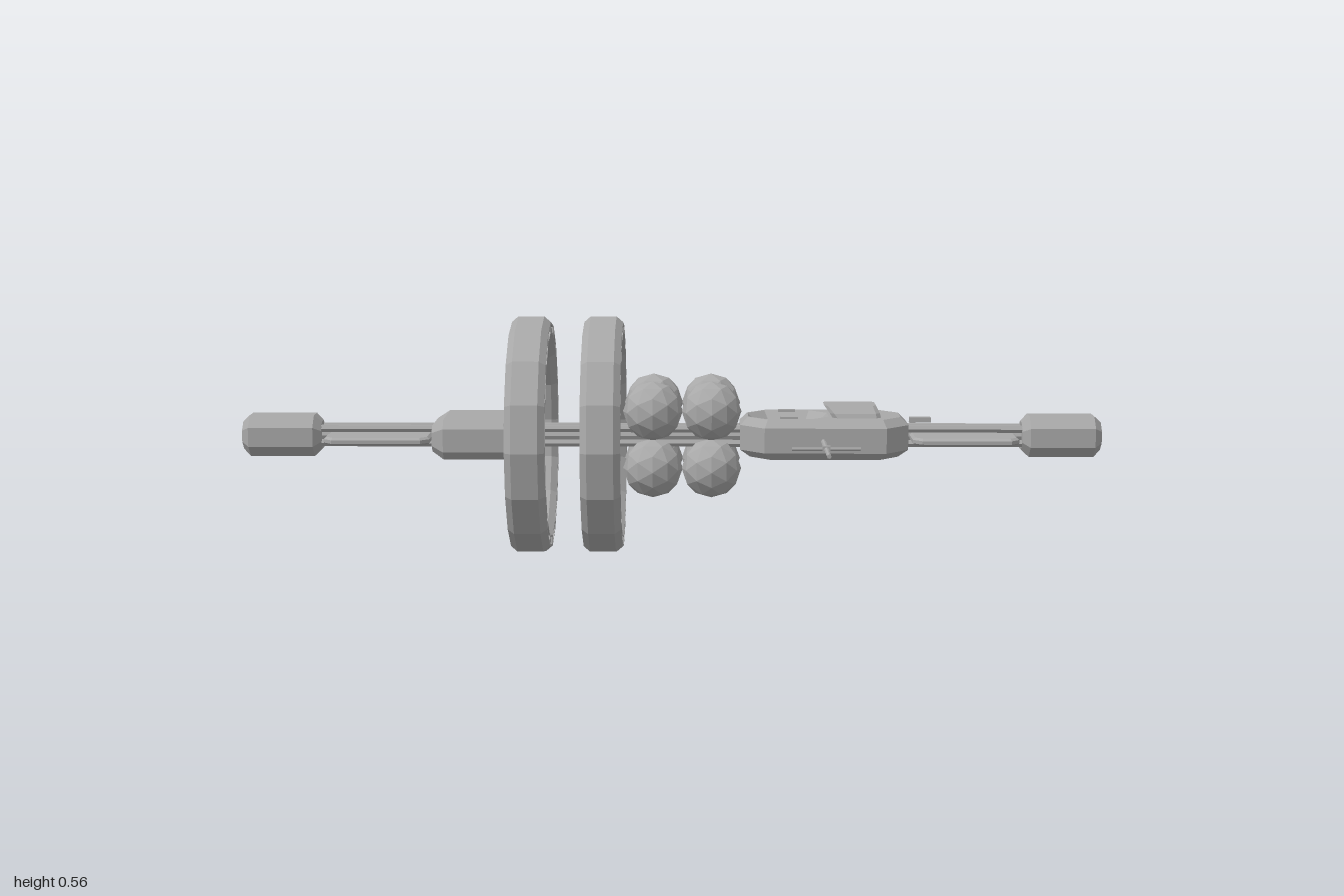
import * as THREE from 'three';

const CY = 0.278; // height of the long axis
const grey = new THREE.MeshStandardMaterial({ color: 0xa8a8a8 });
grey.name = 'hull grey';
const black = new THREE.MeshStandardMaterial({ color: 0x080808 });
black.name = 'black';

// Faceted mesh: every face gets its own normal
function add(parent, name, geo, x = 0, y = 0, z = 0, mat = grey) {
  const g = geo.index ? geo.toNonIndexed() : geo;
  g.computeVertexNormals();
  const m = new THREE.Mesh(g, mat);
  m.name = name;
  m.position.set(x, y, z);
  parent.add(m);
  return m;
}

function group(parent, name, x = 0, y = 0, z = 0) {
  const g = new THREE.Group();
  g.name = name;
  g.position.set(x, y, z);
  parent.add(g);
  return g;
}

// Rectangle with cut corners, counter-clockwise
const cutRect = (a, b, c, o = 0) => [
  [a, -b + c], [a, b - c], [a - c, b], [-a + c, b],
  [-a, b - c], [-a, -b + c], [-a + c, -b], [a - c, -b],
].map(([u, v]) => [u + o, v]);

// Solid through cut rectangles stacked along y: [y, halfX, halfZ, cut, xOffset]
function loft(stations) {
  const rings = stations.map(([y, a, b, c, o]) => cutRect(a, b, c, o).map(([x, z]) => [x, y, z]));
  const pos = [];
  const tri = (...p) => p.forEach((q) => pos.push(...q));
  for (let s = 0; s < rings.length - 1; s++) {
    for (let i = 0; i < 8; i++) {
      const j = (i + 1) % 8, lo = rings[s], hi = rings[s + 1];
      tri(lo[i], hi[i], hi[j]);
      tri(lo[i], hi[j], lo[j]);
    }
  }
  const first = rings[0], last = rings[rings.length - 1];
  for (let i = 1; i < 7; i++) {
    tri(first[0], first[i], first[i + 1]);
    tri(last[0], last[i + 1], last[i]);
  }
  const g = new THREE.BufferGeometry();
  g.setAttribute('position', new THREE.Float32BufferAttribute(pos, 3));
  return g;
}
const loftX = (stations) => loft(stations).rotateZ(-Math.PI / 2);

const toShape = (pts, Kind = THREE.Shape) => new Kind(pts.map(([x, y]) => new THREE.Vector2(x, y)));

// Core with four rods around it, along y
function truss(parent, name, length, core, rod, offset) {
  const t = group(parent, name);
  add(t, 'trussCore', new THREE.CylinderGeometry(core, core, length, 8));
  for (const a of [-1, 1]) for (const b of [-1, 1]) {
    add(t, 'trussRod', new THREE.CylinderGeometry(rod, rod, length, 6), a * offset, 0, b * offset);
  }
  return t;
}

// Sixteen-sided habitat wheel with recessed side panels and four spokes
function wheel(parent, x) {
  const w = group(parent, 'habitatWheel', x, CY, 0);
  const N = 16, r0 = 0.24, r1 = 0.265, step = (Math.PI * 2) / N;
  const profile = [
    [0.229, -0.03], [r0, -0.045], [r0, -0.039], [r1, -0.039], [r1, -0.045], [0.278, -0.03],
    [0.278, 0.03], [r1, 0.045], [r1, 0.039], [r0, 0.039], [r0, 0.045], [0.229, 0.03], [0.229, -0.03],
  ].map(([r, y]) => new THREE.Vector2(r, y));
  add(w, 'wheelRim', new THREE.LatheGeometry(profile, N).rotateZ(-Math.PI / 2));

  const circle = (r) => Array.from({ length: N }, (_, i) => [r * Math.cos(i * step), r * Math.sin(i * step)]);
  const mid = ((r0 + r1) / 2) * Math.cos(step / 2);
  const side = toShape(circle(r1));
  side.holes.push(toShape(circle(r0).reverse(), THREE.Path));
  for (let i = 0; i < N; i++) {
    const t = (i + 0.5) * step, c = Math.cos(t), s = Math.sin(t);
    const corners = [[-1, -1], [-1, 1], [1, 1], [1, -1]].map(([u, v]) => {
      const r = mid + u * 0.008, l = v * 0.038;
      return [r * c - l * s, r * s + l * c];
    });
    side.holes.push(toShape(corners, THREE.Path));
    for (const sx of [-1, 1]) {
      const strip = new THREE.BoxGeometry(0.006, 0.007, 0.066).rotateX(t);
      add(w, 'wheelPanelStrip', strip, sx * 0.039, mid * c, mid * -s * -1);
      w.children[w.children.length - 1].geometry.rotateX(0);
    }
  }
  for (const sx of [-1, 1]) {
    const plate = new THREE.ExtrudeGeometry(side, { depth: 0.006, bevelEnabled: false });
    add(w, 'wheelSide', plate.rotateY(Math.PI / 2), sx > 0 ? 0.039 : -0.045);
  }
  truss(w, 'verticalSpoke', 0.47, 0.008, 0.005, 0.007);
  truss(w, 'horizontalSpoke', 0.47, 0.008, 0.005, 0.007).rotation.x = Math.PI / 2;
}

export function createModel() {
  const model = new THREE.Group();
  model.name = 'spaceStation';

  // Long spine
  const spine = truss(model, 'spine', 1.7, 0.019, 0.009, 0.017);
  spine.position.y = CY;
  spine.rotation.z = Math.PI / 2;

  // End pods and flat radiator panels
  for (const s of [-1, 1]) {
    add(model, 'endPod', loftX([
      [-0.092, 0.032, 0.032, 0.019], [-0.075, 0.048, 0.048, 0.026],
      [0.075, 0.048, 0.048, 0.026], [0.092, 0.032, 0.032, 0.019],
    ]), s * 0.908, CY);
    add(model, 'radiatorPanel', loft([
      [-0.009, 0.116, 0.107, 0.016], [-0.004, 0.122, 0.114, 0.02],
      [0.004, 0.122, 0.114, 0.02], [0.009, 0.116, 0.107, 0.016],
    ]), s * 0.677, CY);
  }

  // Rear module
  add(model, 'rearModule', loftX([
    [-0.553, 0.03, 0.075, 0.015], [-0.525, 0.047, 0.095, 0.02],
    [-0.385, 0.047, 0.095, 0.02], [-0.365, 0.035, 0.083, 0.016],
  ]), 0, CY);

  wheel(model, -0.325);
  wheel(model, -0.157);

  // Cluster of eight storage tanks
  for (const x of [-0.042, 0.093]) for (const sy of [-1, 1]) for (const sz of [-1, 1]) {
    add(model, 'storageTank', new THREE.IcosahedronGeometry(0.069, 1), x, CY + sy * 0.0665, sz * 0.07);
  }

  // Main hull: closed lower body, then a bevelled upper layer with a deck opening
  const hull = group(model, 'mainHull', 0.355, CY, 0);
  add(hull, 'lowerHull', loft([
    [-0.046, 0.172, 0.076, 0.045], [-0.028, 0.195, 0.097, 0.055], [0.028, 0.195, 0.097, 0.055],
  ]));
  const deck = toShape(cutRect(0.195, 0.097, 0.055));
  deck.holes.push(toShape(cutRect(0.075, 0.052, 0.03, -0.083).reverse(), THREE.Path));
  const upper = new THREE.ExtrudeGeometry(deck, {
    depth: 0.002, bevelThickness: 0.018, bevelSize: 0.018, bevelOffset: -0.018, bevelSegments: 1,
  });
  add(hull, 'upperHull', upper.rotateX(-Math.PI / 2), 0, 0.028);
  add(hull, 'deckSlot', new THREE.BoxGeometry(0.13, 0.006, 0.03), -0.083, 0.03, 0, black);
  for (const s of [-1, 1]) {
    add(hull, 'deckHatch', new THREE.BoxGeometry(0.04, 0.006, 0.012), -0.083, 0.049, s * 0.06);
  }

  // Bridge with an overhanging rear edge
  add(hull, 'bridge', loft([
    [0.04, 0.055, 0.06, 0.012, 0.078], [0.058, 0.058, 0.052, 0.01, 0.07], [0.074, 0.06, 0.036, 0.008, 0.06],
  ]));

  // Side masts with crossbars
  for (const s of [-1, 1]) {
    const mast = group(model, 'sideMast', 0.35, CY, s * 0.2);
    add(mast, 'mastRod', new THREE.CylinderGeometry(0.005, 0.006, 0.22, 8).rotateX(Math.PI / 2), 0, 0, s * -0.01);
    add(mast, 'crossbar', new THREE.CylinderGeometry(0.004, 0.004, 0.154, 8).rotateZ(Math.PI / 2));
    add(mast, 'mastHub', new THREE.BoxGeometry(0.018, 0.014, 0.014));
  }

  // Small sensor on the front spine
  add(model, 'sensorBar', new THREE.BoxGeometry(0.05, 0.012, 0.018), 0.585, 0.308, -0.043);
  add(model, 'sensorPost', new THREE.BoxGeometry(0.012, 0.03, 0.012), 0.568, 0.292, -0.043);
  return model;
}
